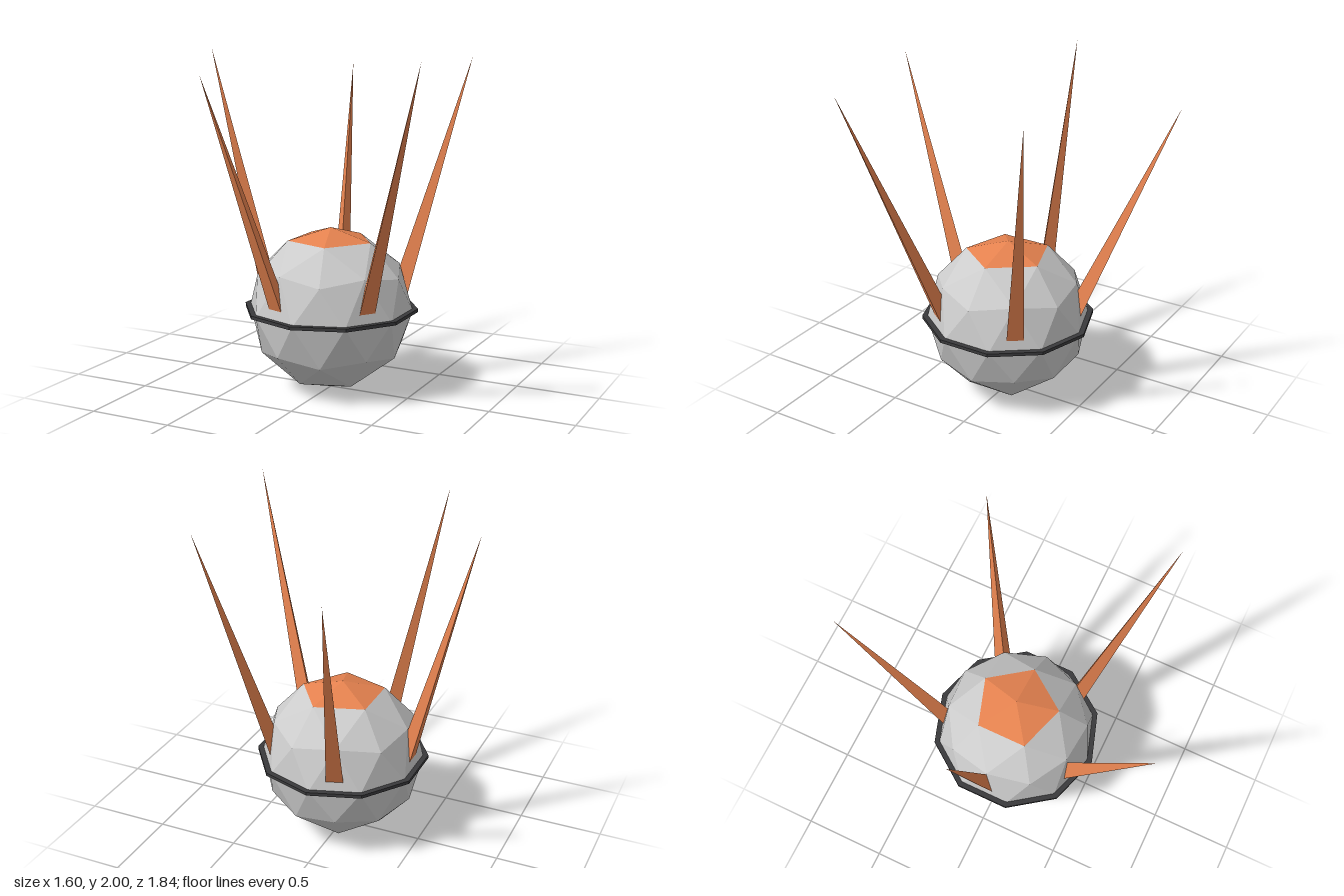
import * as THREE from 'three';

const RADIUS = 0.487;

const paint = (color) => new THREE.MeshStandardMaterial({ color, flatShading: true });

function part(name, geometry, material) {
  const mesh = new THREE.Mesh(geometry, material);
  mesh.name = name;
  return mesh;
}

// Faceted ball with a vertex at the top, split into body faces and top cap faces
function splitBall() {
  const ball = new THREE.IcosahedronGeometry(RADIUS, 1);
  ball.rotateZ(-Math.atan(2 / (1 + Math.sqrt(5))));
  const p = ball.attributes.position;
  const body = [], cap = [];
  for (let i = 0; i < p.count; i += 3) {
    const lowest = Math.min(p.getY(i), p.getY(i + 1), p.getY(i + 2));
    const target = lowest > 0.8 * RADIUS ? cap : body;
    for (let k = i; k < i + 3; k++) target.push(p.getX(k), p.getY(k), p.getZ(k));
  }
  return [body, cap].map((list) => {
    const g = new THREE.BufferGeometry();
    g.setAttribute('position', new THREE.Float32BufferAttribute(list, 3));
    g.computeVertexNormals();
    return g;
  });
}

// Three-sided spike leaning outward, flat face outside and ridge inside
function spike(tipX, tipY, tipZ, material) {
  const baseR = 0.424, baseY = 0.565, r = 0.058;
  const dr = Math.hypot(tipX, tipZ) - baseR;
  const dy = tipY - baseY;
  const h = Math.hypot(dr, dy);
  const g = new THREE.ConeGeometry(r, h, 3, 1, false, -Math.PI / 2);
  g.translate(0, h / 2, 0);
  g.rotateZ(-Math.atan2(dr, dy));
  g.translate(baseR, baseY, 0);
  g.rotateY(-Math.atan2(tipZ, tipX));
  return part('spike', g, material);
}

export function createModel() {
  const model = new THREE.Group();
  model.name = 'spikedBall';
  const grey = paint(0xcccccc);
  const orange = paint(0xe5824f);
  const dark = paint(0x3a3a3c);

  // Ball and its coloured cap
  const [body, cap] = splitBall();
  const bodyMesh = part('body', body, grey);
  const capMesh = part('topCap', cap, orange);
  bodyMesh.position.y = capMesh.position.y = RADIUS;
  model.add(bodyMesh, capMesh);

  // Thin ten-sided band around the middle
  const inner = 0.478, outer = 0.517, t = 0.01;
  const profile = [[inner, -t], [outer, -t], [outer, t], [inner, t], [inner, -t]]
    .map(([x, y]) => new THREE.Vector2(x, y));
  const band = part('waistBand', new THREE.LatheGeometry(profile, 10), dark);
  band.position.y = 0.49;
  model.add(band);

  // Crown of five spikes, given by their tips
  const spikes = new THREE.Group();
  spikes.name = 'spikes';
  const tips = [
    [-0.8, 2.0, 0], [-0.3, 1.915, 0.92], [0.8, 1.99, 0.585],
    [0.675, 1.96, -0.5], [-0.3, 1.87, -0.92],
  ];
  for (const [x, y, z] of tips) spikes.add(spike(x, y, z, orange));
  model.add(spikes);

  return model;
}
